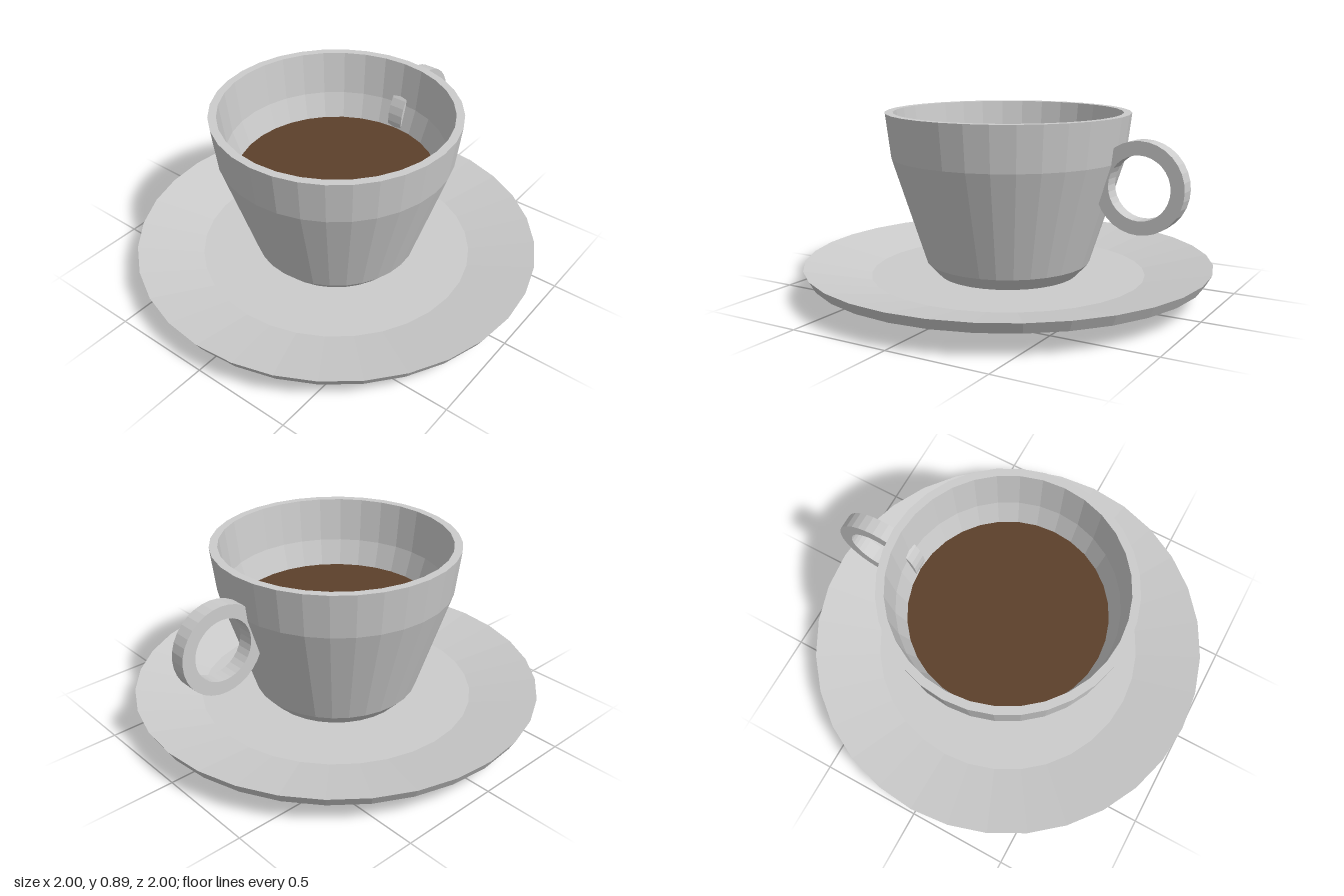
import * as THREE from 'three';

const SIDES = 32;

// Faceted solid of revolution; profile runs counter-clockwise as [radius, height]
function turned(name, profile, color = 0xcccccc) {
  const points = profile.map(([r, y]) => new THREE.Vector2(r, y));
  const material = new THREE.MeshStandardMaterial({ color, flatShading: true });
  const mesh = new THREE.Mesh(new THREE.LatheGeometry(points, SIDES), material);
  mesh.name = name;
  return mesh;
}

export function createModel() {
  const group = new THREE.Group();
  group.name = 'cupAndSaucer';

  // Saucer: flat foot, flared underside, thin rim, shallow well
  group.add(turned('saucer', [
    [0, 0], [0.6, 0], [0.97, 0.11], [1, 0.163], [0.675, 0.1], [0, 0.1],
  ]));

  // Cup: chamfered foot, tapered wall, steeper band below the rim, hollow inside
  group.add(turned('cup', [
    [0, 0.1], [0.345, 0.1], [0.403, 0.163], [0.568, 0.68], [0.594, 0.895],
    [0.555, 0.895], [0.528, 0.68], [0.375, 0.2], [0, 0.2],
  ]));

  // Coffee surface
  group.add(turned('coffee', [[0.485, 0.555], [0, 0.555]], 0x5c402b));

  // Handle: flat ring whose inner edge pokes through the cup wall
  const handle = turned('handle', [
    [0.15, -0.04], [0.215, -0.04], [0.215, 0.04], [0.15, 0.04], [0.15, -0.04],
  ]);
  handle.rotation.x = Math.PI / 2;
  handle.position.set(0.7, 0.585, 0);
  group.add(handle);

  return group;
}
